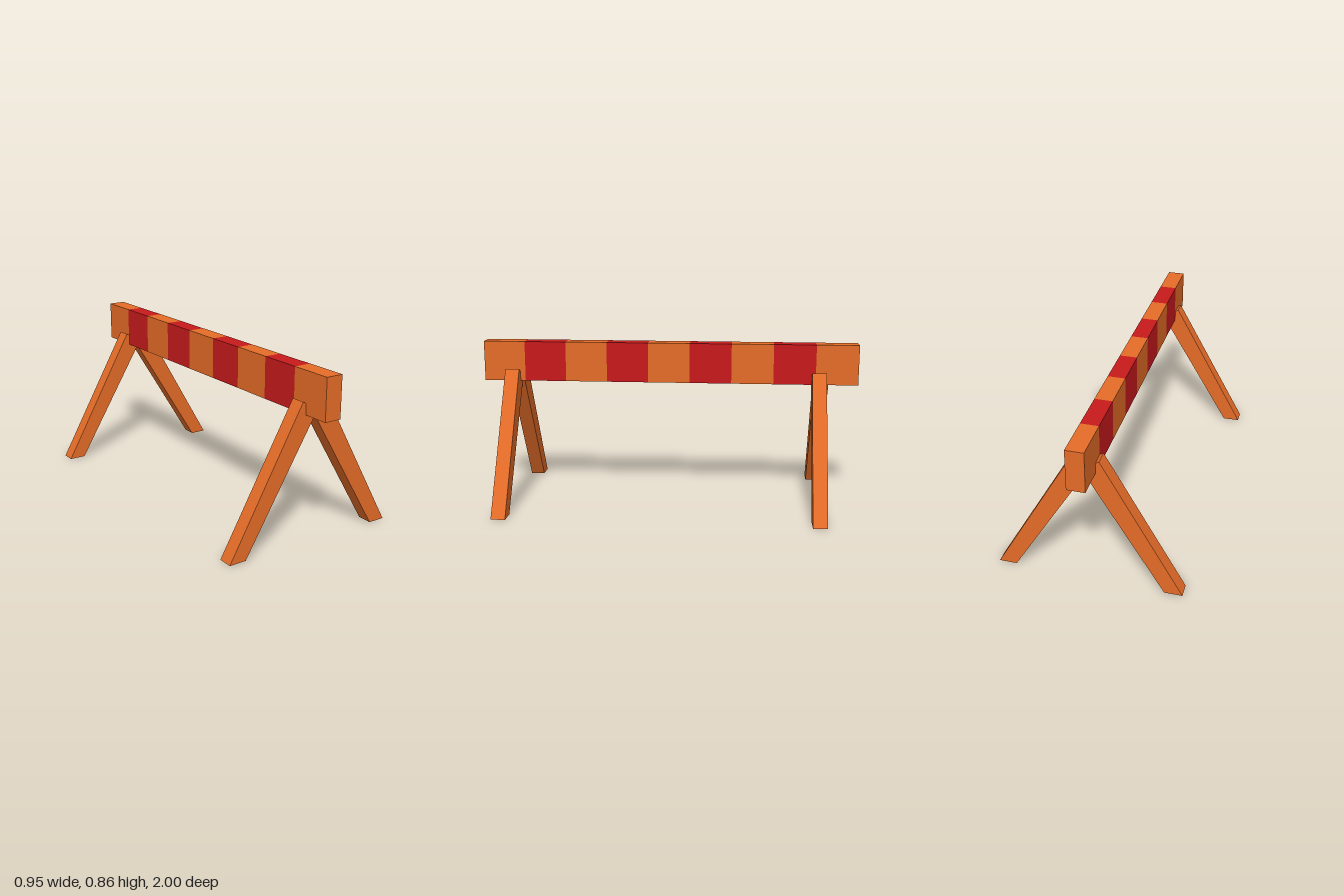
import * as THREE from 'three';

export function createModel() {
  const model = new THREE.Group();
  model.name = 'stripedBarrier';
  const orange = new THREE.MeshStandardMaterial({ color: 0xe56c28 });
  const red = new THREE.MeshStandardMaterial({ color: 0xc81a1c });

  // Beam: nine alternating stripes; only the outermost keep their end faces
  const beam = new THREE.Group();
  beam.name = 'beam';
  const count = 9, step = 2 / count;
  for (let i = 0; i < count; i++) {
    const geo = new THREE.BoxGeometry(0.09, 0.212, step);
    const index = Array.from(geo.index.array);
    const kept = index.slice(0, 24); // the four long sides
    if (i === count - 1) kept.push(...index.slice(24, 30)); // front end
    if (i === 0) kept.push(...index.slice(30, 36)); // back end
    geo.setIndex(kept);
    geo.clearGroups();
    const stripe = new THREE.Mesh(geo, i % 2 ? red : orange);
    stripe.name = i % 2 ? 'redStripe' : 'orangeStripe';
    stripe.position.set(-0.006, 0.752, -1 + step * (i + 0.5));
    beam.add(stripe);
  }
  model.add(beam);

  // Legs: slanted planks, cut flat at the floor and square at the top
  const legGeometry = (side) => {
    const outline = [[0.383, 0], [0.473, 0], [0.068, 0.712], [-0.02, 0.661]];
    const shape = new THREE.Shape(outline.map(([x, y]) => new THREE.Vector2(side * x, y)));
    return new THREE.ExtrudeGeometry(shape, { depth: 0.075, bevelEnabled: false });
  };
  // Each pair overlaps at the top with a small offset in z
  const legs = [
    ['frontLeftLeg', 1, 0.805], ['frontRightLeg', -1, 0.79],
    ['backLeftLeg', 1, -0.832], ['backRightLeg', -1, -0.847],
  ];
  for (const [name, side, z] of legs) {
    const leg = new THREE.Mesh(legGeometry(side), orange);
    leg.name = name;
    leg.position.z = z;
    model.add(leg);
  }
  return model;
}
